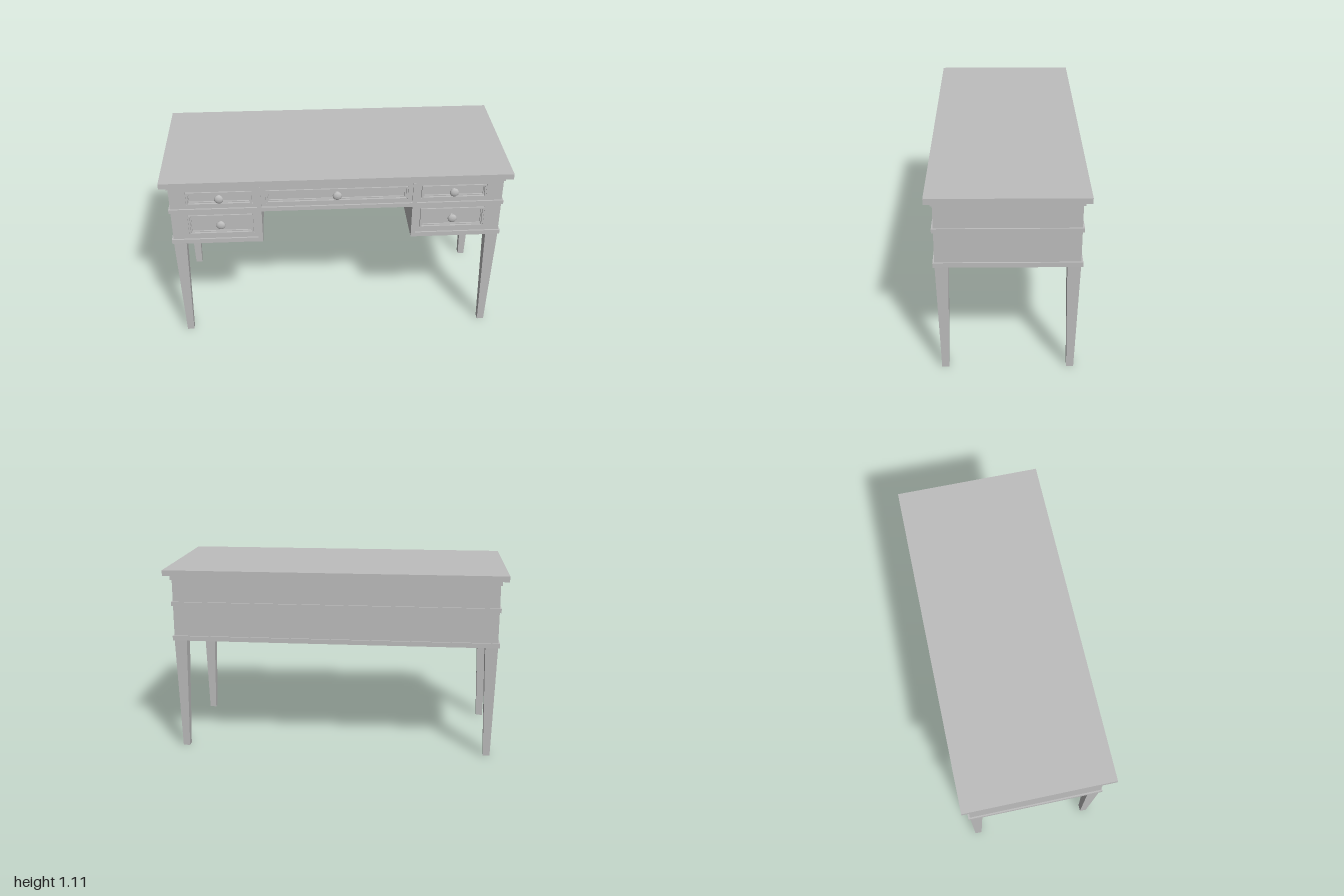
import * as THREE from 'three';

export function createModel() {
  const desk = new THREE.Group();
  desk.name = 'desk';
  const paint = new THREE.MeshStandardMaterial({ color: 0xbebebe });
  paint.name = 'grey paint';

  function add(name, geometry, x = 0, y = 0, z = 0) {
    const mesh = new THREE.Mesh(geometry, paint);
    mesh.name = name;
    mesh.position.set(x, y, z);
    desk.add(mesh);
    return mesh;
  }

  // Box given by its limits on each axis
  function block(name, x0, x1, y0, y1, z0, z1) {
    add(name, new THREE.BoxGeometry(x1 - x0, y1 - y0, z1 - z0),
      (x0 + x1) / 2, (y0 + y1) / 2, (z0 + z1) / 2);
  }

  // U-shaped plan, open at the front for the knees
  function kneeholeBlock(name, halfWidth, front, back, y0, y1) {
    const knee = 0.435, kneeBack = -0.25;
    const plan = new THREE.Shape([
      [-halfWidth, -front], [-knee, -front], [-knee, -kneeBack], [knee, -kneeBack],
      [knee, -front], [halfWidth, -front], [halfWidth, -back], [-halfWidth, -back],
    ].map(([x, y]) => new THREE.Vector2(x, y)));
    const geo = new THREE.ExtrudeGeometry(plan, { depth: y1 - y0, bevelEnabled: false });
    add(name, geo.rotateX(-Math.PI / 2), 0, y0, 0);
  }

  const corners = (x0, x1, y0, y1) => [[x0, y0], [x1, y0], [x1, y1], [x0, y1]]
    .map(([x, y]) => new THREE.Vector2(x, y));

  // Upright plate with rectangular openings
  function plate(name, outer, holes, z0, z1) {
    const shape = new THREE.Shape(corners(...outer));
    holes.forEach(h => shape.holes.push(new THREE.Path(corners(...h).reverse())));
    add(name, new THREE.ExtrudeGeometry(shape, { depth: z1 - z0, bevelEnabled: false }), 0, 0, z0);
  }

  const inset = ([x0, x1, y0, y1], d) => [x0 + d, x1 - d, y0 + d, y1 - d];

  // Table top, carcass and mouldings
  block('tableTop', -1, 1, 1.077, 1.11, -0.432, 0.432);
  block('topMoulding', -0.965, 0.965, 1.048, 1.077, -0.4, 0.4);
  block('upperCarcass', -0.956, 0.956, 0.9, 1.06, -0.39, 0.37);
  block('middleMoulding', -0.965, 0.965, 0.89, 0.915, -0.4, 0.4);
  kneeholeBlock('lowerCarcass', 0.956, 0.37, -0.39, 0.69, 0.9);
  kneeholeBlock('bottomMoulding', 0.965, 0.4, -0.4, 0.68, 0.708);

  // Drawer openings
  const upperSide = [0.485, 0.862, 0.936, 1.025];
  const lowerSide = [0.485, 0.862, 0.735, 0.87];
  const centre = [-0.408, 0.408, 0.936, 1.025];
  const mirror = ([x0, x1, y0, y1]) => [-x1, -x0, y0, y1];

  // Front faces around the drawers
  plate('upperFront', [-0.956, 0.956, 0.91, 1.05],
    [upperSide, mirror(upperSide), centre], 0.369, 0.39);
  const pedestalFace = [0.435, 0.956, 0.7, 0.895];
  plate('leftPedestalFront', pedestalFace, [lowerSide], 0.369, 0.39);
  plate('rightPedestalFront', mirror(pedestalFace), [mirror(lowerSide)], 0.369, 0.39);

  // Upright strips beside the kneehole
  for (const s of [-1, 1]) {
    block('stile', s * 0.4475 - 0.0125, s * 0.4475 + 0.0125, 0.68, 1.05, 0.36, 0.401);
  }

  // Drawers: raised frame, inner step, recessed panel and round knob
  const knobProfile = [[0.014, 0], [0.011, 0.008], [0.011, 0.018], [0.022, 0.02],
    [0.026, 0.025], [0.026, 0.03], [0.021, 0.036], [0.011, 0.039], [0, 0.04]]
    .map(([x, y]) => new THREE.Vector2(x, y));
  const knob = new THREE.LatheGeometry(knobProfile, 24).rotateX(Math.PI / 2);
  for (const d of [upperSide, mirror(upperSide), lowerSide, mirror(lowerSide), centre]) {
    const frame = inset(d, 0.002);
    const step = inset(d, 0.012);
    plate('drawerFrame', frame, [step], 0.369, 0.395);
    plate('drawerFrameStep', step, [inset(d, 0.018)], 0.369, 0.383);
    block('drawerPanel', ...step, 0.36, 0.374);
    add('drawerKnob', knob, (d[0] + d[1]) / 2, (d[2] + d[3]) / 2, 0.373);
  }

  // Square tapered legs
  const leg = new THREE.CylinderGeometry(0.037 * Math.SQRT2, 0.02 * Math.SQRT2, 0.69, 4)
    .rotateY(Math.PI / 4).toNonIndexed();
  leg.computeVertexNormals();
  for (const x of [-0.92, 0.92]) {
    for (const z of [-0.353, 0.353]) add('leg', leg, x, 0.345, z);
  }

  return desk;
}
